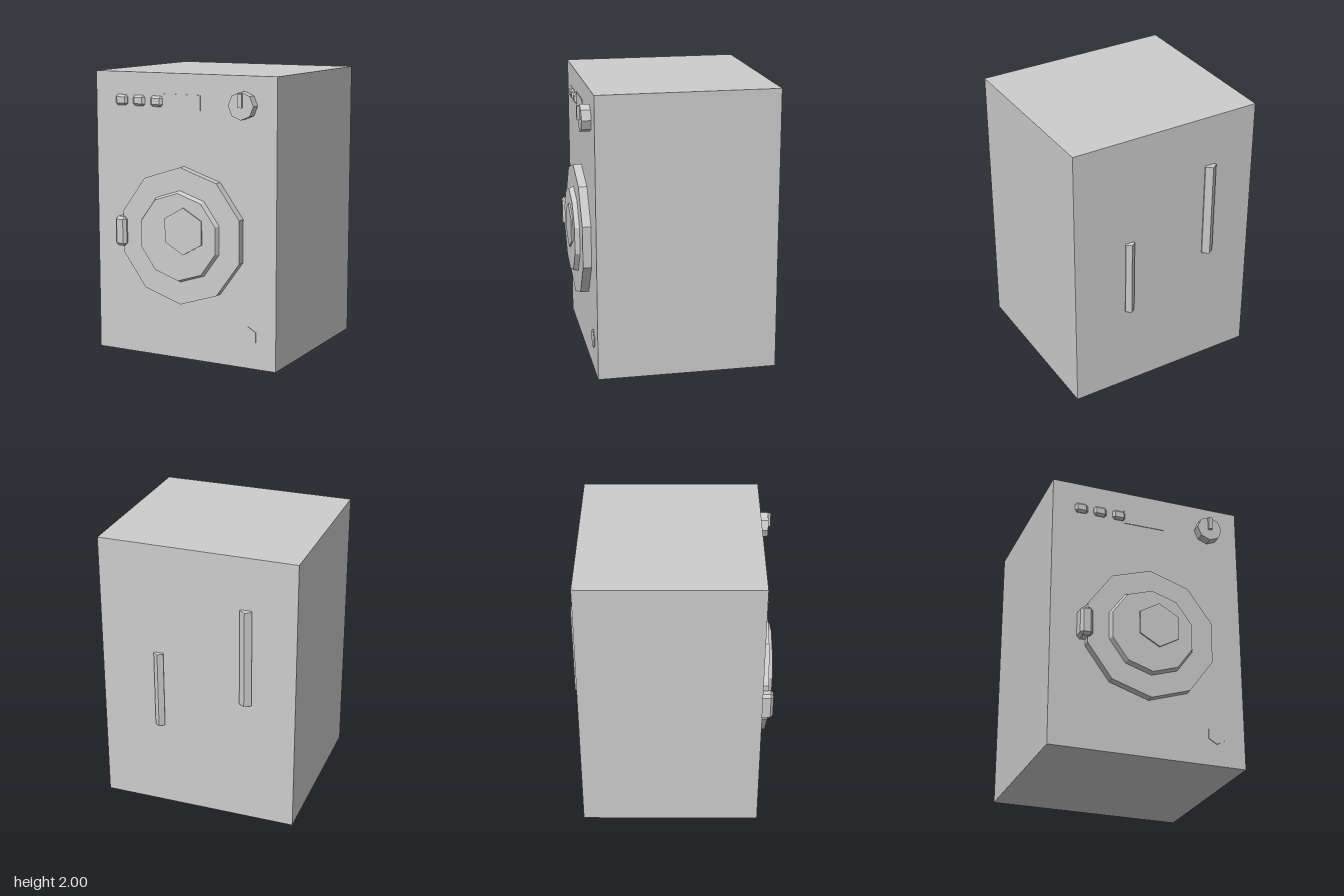
import * as THREE from 'three';
import { ConvexGeometry } from 'three/addons/geometries/ConvexGeometry.js';

const FRONT = 0.604;
const BACK = -0.664;

export function createModel() {
  const model = new THREE.Group();
  model.name = 'washingMachine';

  const grey = new THREE.MeshStandardMaterial({ color: 0xcccccc });
  grey.name = 'light grey';

  // Every part is faceted, so each face gets its own normal
  const add = (name, geometry) => {
    const flat = geometry.index ? geometry.toNonIndexed() : geometry;
    flat.computeVertexNormals();
    const mesh = new THREE.Mesh(flat, grey);
    mesh.name = name;
    model.add(mesh);
  };

  // Box given by its limits on each axis
  const box = (name, x0, x1, y0, y1, z0, z1) =>
    add(name, new THREE.BoxGeometry(x1 - x0, y1 - y0, z1 - z0)
      .translate((x0 + x1) / 2, (y0 + y1) / 2, (z0 + z1) / 2));

  // Polygonal disc facing the front, with a corner at the top
  const disc = (name, x, y, z0, z1, rBack, rFront, sides) =>
    add(name, new THREE.CylinderGeometry(rFront, rBack, z1 - z0, sides)
      .rotateX(Math.PI / 2).translate(x, y, (z0 + z1) / 2));

  // Box with all edges chamfered by c
  const chamferBox = (name, x, y, z0, z1, w, h, c) => {
    const half = [w / 2, h / 2, (z1 - z0) / 2];
    const points = [];
    for (const sx of [-1, 1]) for (const sy of [-1, 1]) for (const sz of [-1, 1]) {
      for (let axis = 0; axis < 3; axis++) {
        const [px, py, pz] = half.map((d, i) => (i === axis ? d : d - c));
        points.push(new THREE.Vector3(x + sx * px, y + sy * py, (z0 + z1) / 2 + sz * pz));
      }
    }
    add(name, new ConvexGeometry(points));
  };

  // Five-sided upright pipe half sunk in the back, ridge pointing backwards
  const pipe = (name, x, y0, y1, r) =>
    add(name, new THREE.CylinderGeometry(r, r, y1 - y0, 5)
      .rotateY(Math.PI).translate(x, (y0 + y1) / 2, BACK));

  box('cabinet', -0.705, 0.705, 0, 2, BACK, FRONT);

  // Door
  disc('doorRing', 0, 0.885, FRONT - 0.02, 0.664, 0.48, 0.48, 10);
  disc('doorGlass', 0, 0.885, 0.664, 0.698, 0.32, 0.305, 10);
  disc('doorCentre', 0.047, 0.931, 0.69, 0.71, 0.164, 0.164, 6);
  chamferBox('doorHandle', -0.47, 0.885, FRONT - 0.03, 0.697, 0.09, 0.21, 0.02);

  // Control panel
  for (const x of [-0.494, -0.354, -0.213]) {
    chamferBox('button', x, 1.803, FRONT - 0.03, 0.625, 0.095, 0.075, 0.016);
  }
  box('display', -0.17, 0.13, 1.75, 1.857, FRONT - 0.002, 0.609);
  disc('knob', 0.468, 1.803, FRONT - 0.01, 0.67, 0.094, 0.094, 8);
  box('knobPointer', 0.455, 0.484, 1.792, 1.886, 0.66, 0.69);

  // Drain filter cap
  disc('filterCap', 0.496, 0.225, FRONT - 0.002, 0.61, 0.07, 0.07, 6);

  // Pipes on the back
  pipe('largePipe', -0.353, 0.92, 1.626, 0.046);
  pipe('smallPipe', 0.281, 0.638, 1.203, 0.037);

  return model;
}
